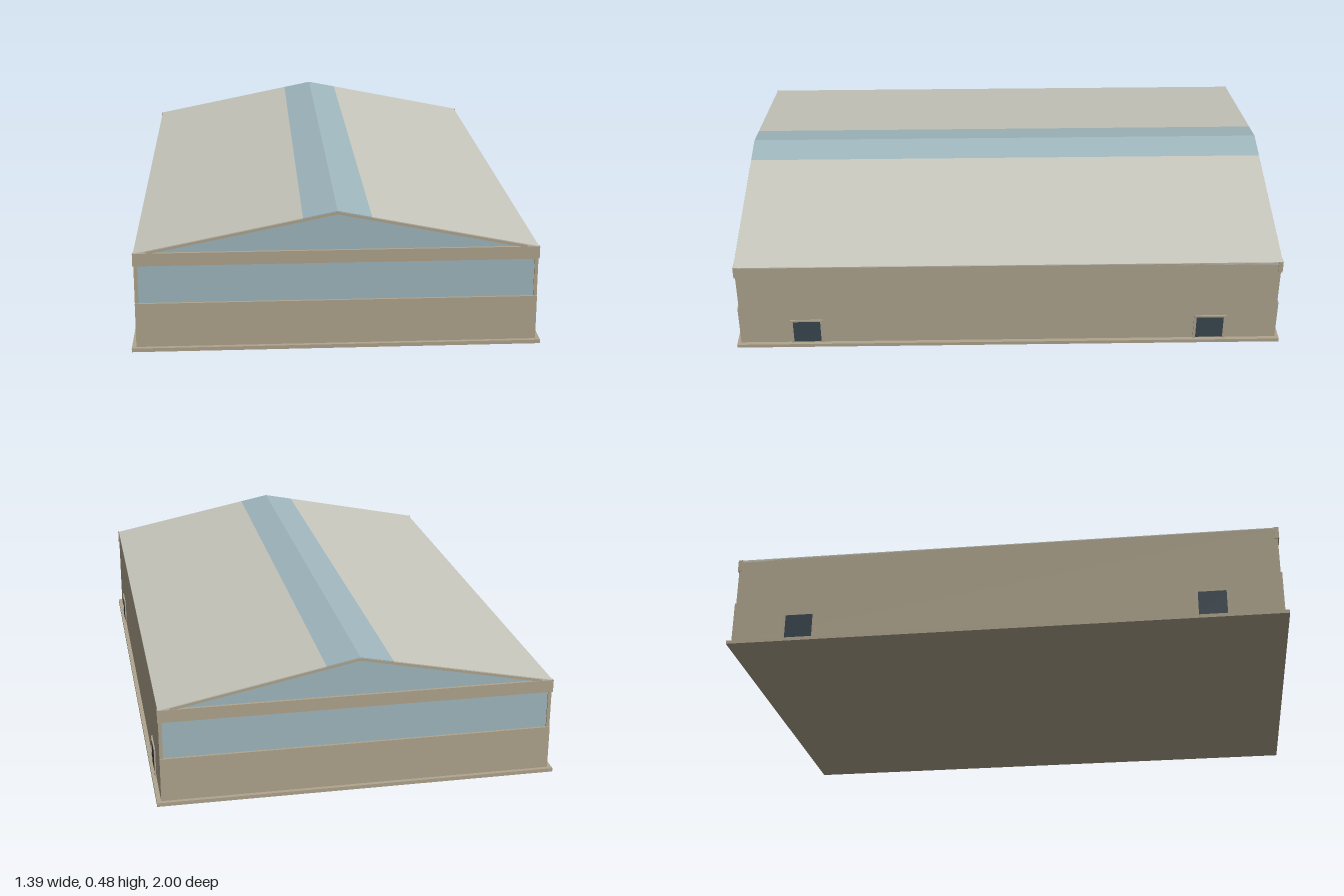
import * as THREE from 'three';

const paint = (name, color) => {
  const m = new THREE.MeshStandardMaterial({ color });
  m.name = name;
  return m;
};

export function createModel() {
  const wall = paint('wall tan', 0xb0a58e);
  const roof = paint('roof grey', 0xc8c8be);
  const glass = paint('pale blue glass', 0xa0b8be);
  const dark = paint('dark door', 0x3a464f);

  const model = new THREE.Group();
  model.name = 'hall';

  const add = (name, geometry, material, x = 0, y = 0, z = 0) => {
    const mesh = new THREE.Mesh(geometry, material);
    mesh.name = name;
    mesh.position.set(x, y, z);
    model.add(mesh);
  };
  // Box given by its centre in x and z and its bottom and top heights
  const box = (name, material, w, d, y0, y1, x = 0, z = 0) =>
    add(name, new THREE.BoxGeometry(w, y1 - y0, d), material, x, (y0 + y1) / 2, z);
  // Outline in x and y, extruded along z and centred
  const prism = (name, material, points, depth, z = 0) => {
    const shape = new THREE.Shape(points.map(([x, y]) => new THREE.Vector2(x, y)));
    add(name, new THREE.ExtrudeGeometry(shape, { depth, bevelEnabled: false }), material, 0, 0, z - depth / 2);
  };

  const eave = 0.346, ridge = 0.483, half = 0.68, strip = 0.115, thick = 0.009;
  const roofY = (x) => ridge - (ridge - eave) * Math.abs(x) / half;

  box('baseSlab', wall, 1.39, 2, 0, 0.013);

  // Long side walls with a door near each end
  for (const s of [-1, 1]) {
    box('sideWall', wall, 0.012, 1.962, 0.013, eave - 0.003, s * 0.674);
    for (const z of [-0.74, 0.74]) {
      box('doorFrameTop', wall, 0.008, 0.118, 0.106, 0.113, s * 0.681, z);
      for (const e of [-1, 1])
        box('doorFrameSide', wall, 0.008, 0.009, 0.013, 0.106, s * 0.681, z + e * 0.0545);
      box('door', dark, 0.006, 0.1, 0.017, 0.106, s * 0.681, z);
    }
  }

  // Glazed end walls, the same at front and back
  for (const s of [-1, 1]) {
    box('endWallLower', wall, 1.36, 0.014, 0.013, 0.168, 0, s * 0.979);
    box('endWallBeam', wall, 1.366, 0.016, 0.302, eave, 0, s * 0.978);
    box('windowBand', glass, 1.344, 0.008, 0.168, 0.302, 0, s * 0.973);
    for (const e of [-1, 1])
      box('cornerPost', wall, 0.01, 0.01, 0.168, 0.302, e * 0.675, s * 0.976);
    prism('gableGlass', glass, [[-0.64, eave], [0.64, eave], [0, ridge - thick]], 0.008, s * 0.972);
  }

  // Pitched roof with a glazed strip along the ridge
  const slab = (a, b) => [
    [a, roofY(a) - thick], [b, roofY(b) - thick], [b, roofY(b)], [a, roofY(a)],
  ];
  prism('roofRight', roof, slab(-half, -strip), 1.968);
  prism('roofLeft', roof, slab(strip, half), 1.968);
  prism('skylightRight', glass, slab(-strip, 0), 1.968);
  prism('skylightLeft', glass, slab(0, strip), 1.968);

  // Thin rake trim under the roof edge at each gable
  for (const s of [-1, 1])
    for (const e of [-1, 1]) {
      const pts = [[0, ridge - 0.012], [e * 0.64, roofY(0.64) - 0.012],
        [e * 0.64, roofY(0.64) - 0.003], [0, ridge - 0.003]];
      prism('rakeTrim', wall, pts, 0.008, s * 0.981);
    }

  return model;
}
